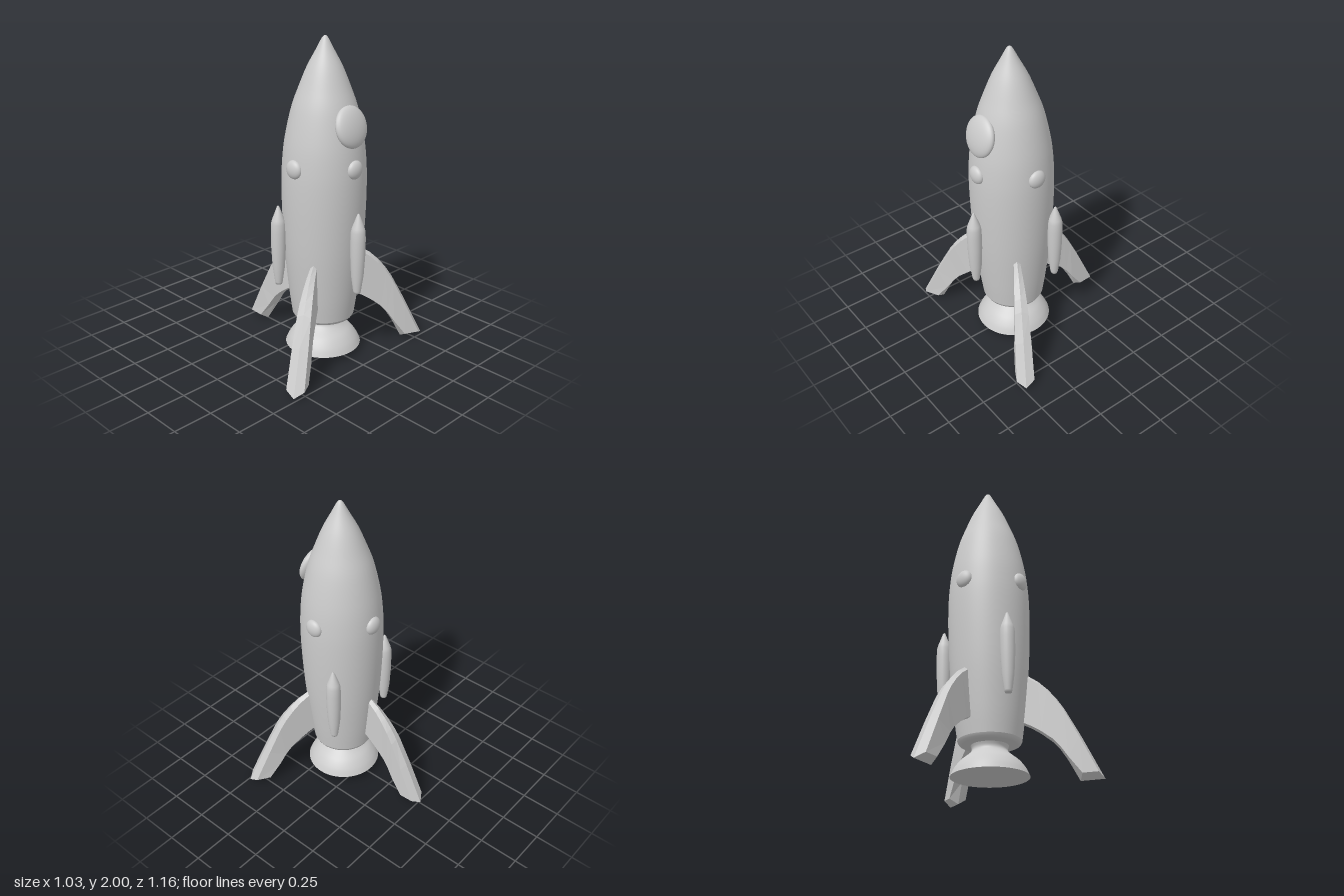
import * as THREE from 'three';

const grey = new THREE.MeshStandardMaterial({ color: 0xcccccc });
const faceted = new THREE.MeshStandardMaterial({ color: 0xcccccc, flatShading: true });

const v2 = (p) => new THREE.Vector2(p[0], p[1]);
const smooth = (pts, n) => new THREE.SplineCurve(pts.map(v2)).getPoints(n)
  .map((p) => new THREE.Vector2(Math.max(0, p.x), p.y));

function add(parent, name, geometry, material = grey) {
  const mesh = new THREE.Mesh(geometry, material);
  mesh.name = name;
  parent.add(mesh);
  return mesh;
}

// Fin: six-sided cross-sections (ridge, shoulders, inner ridge) swept outward and down
function finGeometry() {
  // outer edge r, y; inner edge r, y; half thickness
  const sections = [
    [0.18, 0.69, 0.15, 0.37, 0.018],
    [0.235, 0.668, 0.205, 0.355, 0.02],
    [0.30, 0.625, 0.255, 0.33, 0.026],
    [0.355, 0.573, 0.31, 0.295, 0.032],
    [0.405, 0.513, 0.375, 0.245, 0.038],
    [0.45, 0.445, 0.415, 0.2, 0.043],
    [0.54, 0.275, 0.46, 0.13, 0.05],
    [0.667, 0.012, 0.525, 0.004, 0.055],
  ];
  const rings = sections.map(([ro, yo, ri, yi, w], j) => {
    const last = j === sections.length - 1;
    const k = (last ? 0.035 : 0.02) / Math.hypot(ri - ro, yi - yo);
    const lift = last ? 0.033 : 0; // keel under the foot
    const at = (t, z, up) => [ro + (ri - ro) * t, yo + (yi - yo) * t + up, z];
    return [at(0, 0, 0), at(k, w, lift), at(1 - k * 0.4, w, lift),
      at(1, 0, 0), at(1 - k * 0.4, -w, lift), at(k, -w, lift)];
  });
  const pos = [];
  const quad = (a, b, c, d) => pos.push(...a, ...b, ...c, ...a, ...c, ...d);
  for (let j = 0; j < rings.length - 1; j++) {
    for (let i = 0; i < 6; i++) {
      const n = (i + 1) % 6;
      quad(rings[j][i], rings[j][n], rings[j + 1][n], rings[j + 1][i]);
    }
  }
  const e = rings[rings.length - 1];
  quad(e[0], e[1], e[2], e[3]);
  quad(e[0], e[3], e[4], e[5]);
  const g = new THREE.BufferGeometry();
  g.setAttribute('position', new THREE.Float32BufferAttribute(pos, 3));
  g.computeVertexNormals();
  return g;
}

export function createModel() {
  const model = new THREE.Group();
  model.name = 'rocket';
  const rocket = new THREE.Group();
  rocket.name = 'rocketBody';
  rocket.position.x = 0.15;
  model.add(rocket);

  // Hull with pointed nose
  const hull = smooth([[0.194, 0.262], [0.215, 0.42], [0.24, 0.67], [0.253, 0.9], [0.257, 1.1],
    [0.252, 1.25], [0.235, 1.4], [0.196, 1.58], [0.15, 1.71], [0.105, 1.82], [0.055, 1.915],
    [0.018, 1.985], [0, 2]], 64);
  add(rocket, 'hull', new THREE.LatheGeometry(hull, 64));
  add(rocket, 'hullBase', new THREE.LatheGeometry(
    [[0.08, 0.232], [0.165, 0.236], [0.185, 0.245], [0.194, 0.262]].map(v2), 64));

  // Exhaust nozzle, closed underneath
  const nozzle = smooth([[0.237, 0.045], [0.215, 0.09], [0.18, 0.135], [0.135, 0.172],
    [0.112, 0.195], [0.108, 0.215], [0.118, 0.24]], 32);
  add(rocket, 'nozzle', new THREE.LatheGeometry(nozzle, 64));
  const floor = add(rocket, 'nozzleBase', new THREE.CircleGeometry(0.237, 64));
  floor.rotation.x = Math.PI / 2;
  floor.position.y = 0.045;

  // Three landing fins
  const fin = finGeometry();
  for (const a of [Math.PI, Math.PI / 3, -Math.PI / 3]) {
    add(rocket, 'fin', fin, faceted).rotation.y = a;
  }

  // Three side pods between the fins
  const pod = new THREE.LatheGeometry([[0, 0.475], [0.02, 0.475], [0.024, 0.49], [0.038, 0.59],
    [0.045, 0.72], [0.046, 0.82], [0.044, 0.875], [0.038, 0.9], [0.008, 0.982], [0, 0.99]].map(v2), 24);
  for (let i = 0; i < 3; i++) {
    const a = (i * Math.PI * 2) / 3;
    add(rocket, 'sidePod', pod).position.set(0.285 * Math.cos(a), 0, 0.285 * Math.sin(a));
  }

  // Four small round portholes
  const dome = new THREE.SphereGeometry(1, 32, 20);
  for (let i = 0; i < 4; i++) {
    const a = (i * Math.PI) / 2;
    const hole = add(rocket, 'porthole', dome);
    hole.scale.set(0.033, 0.057, 0.057);
    hole.position.set(0.248 * Math.cos(a), 1.25, -0.248 * Math.sin(a));
    hole.rotation.y = a;
  }

  // Large window, tilted with the hull
  const pane = add(rocket, 'window', dome);
  pane.scale.set(0.046, 0.125, 0.121);
  pane.position.set(0.214, 1.5, 0);
  pane.rotation.z = 0.28;

  return model;
}
